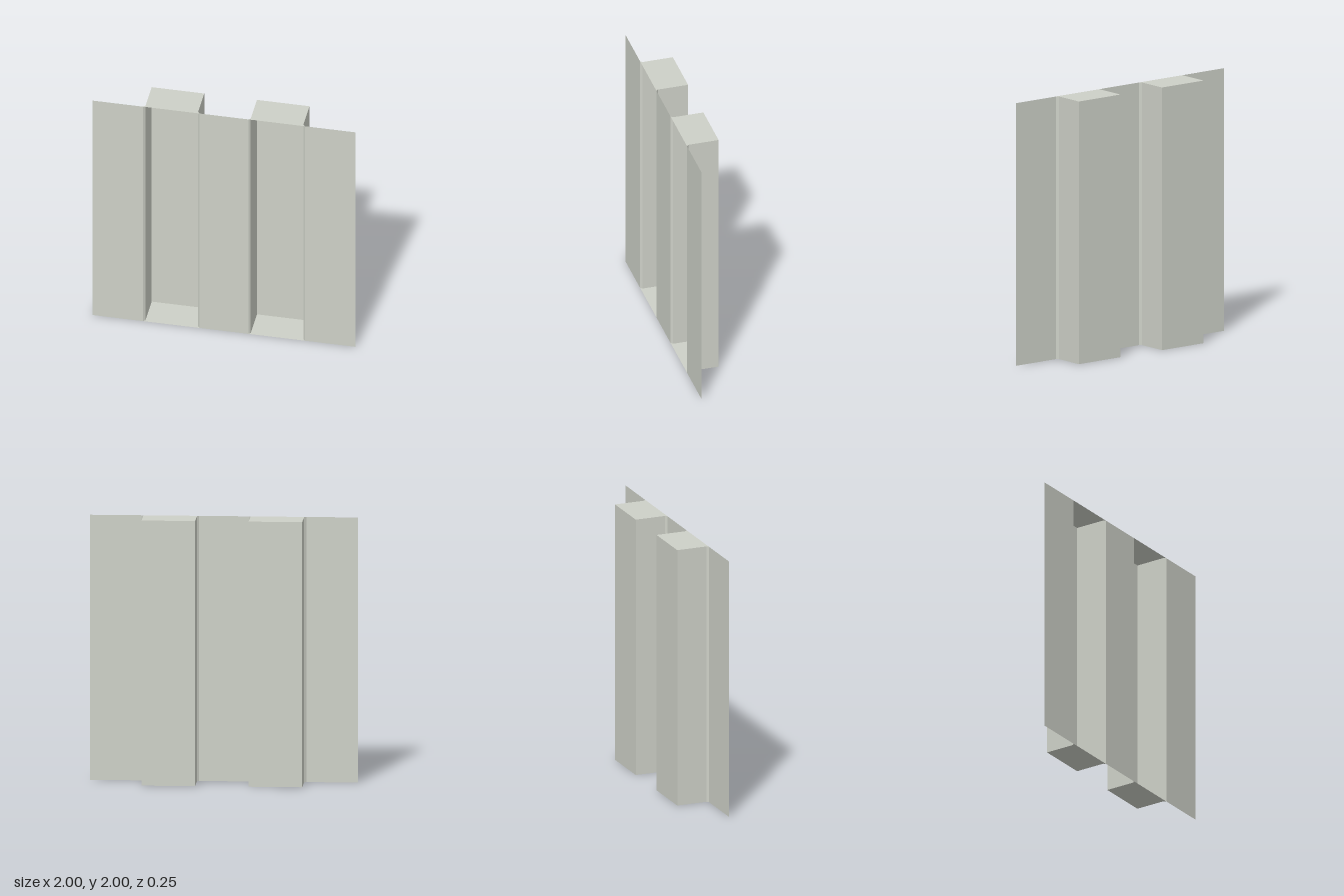
import * as THREE from 'three';

const HEIGHT = 2, FRONT = 0.125, BACK = -0.125;
const BEVEL = 0.015, HALF = 0.2; // corner chamfer and half width of a bay
const BAYS = [-0.4, 0.4];

const paint = new THREE.MeshStandardMaterial({ color: 0xcdd0c7, side: THREE.DoubleSide });
paint.name = 'pale grey paint';

function add(parent, name, geometry) {
  const mesh = new THREE.Mesh(geometry, paint);
  mesh.name = name;
  parent.add(mesh);
  return mesh;
}

// Upright sheet between two plan points [x, z]
function addSheet(parent, name, [x1, z1], [x2, z2]) {
  const sheet = add(parent, name, new THREE.PlaneGeometry(Math.hypot(x2 - x1, z2 - z1), HEIGHT));
  sheet.position.set((x1 + x2) / 2, HEIGHT / 2, (z1 + z2) / 2);
  sheet.rotation.y = -Math.atan2(z2 - z1, x2 - x1);
}

export function createModel() {
  const model = new THREE.Group();
  model.name = 'recessedWall';

  // Flat front panels between the bays
  const opening = HALF + BEVEL;
  const edges = [-1, ...BAYS.flatMap((x) => [x - opening, x + opening]), 1];
  for (let i = 0; i < edges.length; i += 2) {
    addSheet(model, 'frontPanel', [edges[i], FRONT], [edges[i + 1], FRONT]);
  }

  // Plan of one bay, open at the front
  const plan = [
    [-opening, FRONT], [-HALF, FRONT - BEVEL], [-HALF, BACK],
    [HALF, BACK], [HALF, FRONT - BEVEL], [opening, FRONT],
  ];
  const names = ['bevel', 'sideWall', 'backWall', 'sideWall', 'bevel'];
  const capShape = new THREE.Shape(plan.map(([x, z]) => new THREE.Vector2(x, -z)));

  for (const x of BAYS) {
    const bay = new THREE.Group();
    bay.name = 'recessedBay';
    bay.position.x = x;
    names.forEach((name, i) => addSheet(bay, name, plan[i], plan[i + 1]));

    // Floor and ceiling of the bay
    for (const [name, y] of [['floor', 0], ['ceiling', HEIGHT]]) {
      const cap = add(bay, name, new THREE.ShapeGeometry(capShape));
      cap.rotation.x = -Math.PI / 2;
      cap.position.y = y;
    }
    model.add(bay);
  }
  return model;
}
